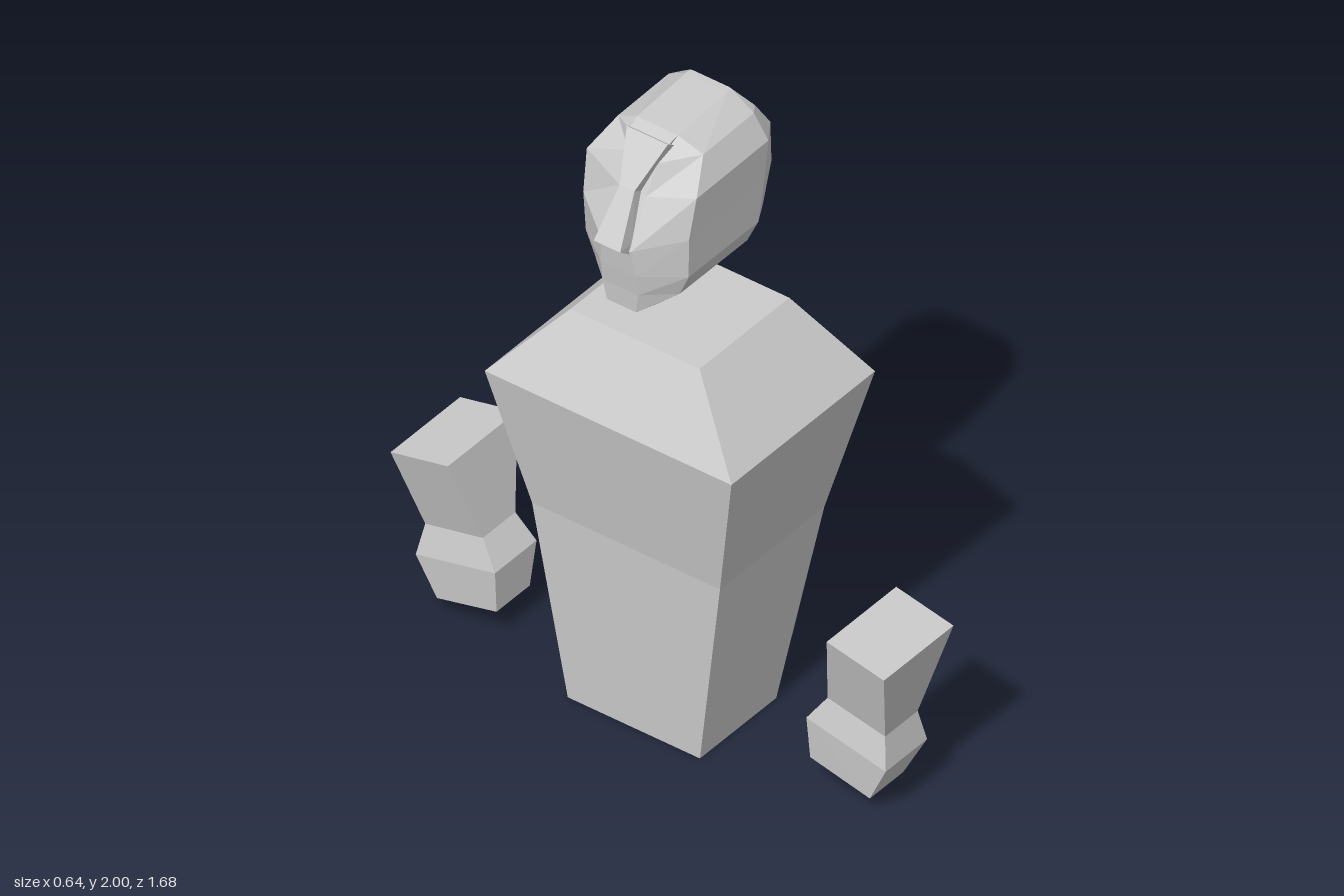
import * as THREE from 'three';

const material = new THREE.MeshStandardMaterial({ color: 0xcccccc, flatShading: true, side: THREE.DoubleSide });

// Skin a list of equal-length loops and close both ends with ladder caps
function loft(name, loops) {
  const n = loops[0].length, last = loops.length - 1, tris = [];
  const quad = (a, b, c, d) => tris.push([a, b, c], [a, c, d]);
  for (let s = 0; s < last; s++)
    for (let i = 0; i < n; i++) {
      const j = (i + 1) % n;
      quad(loops[s][i], loops[s][j], loops[s + 1][j], loops[s + 1][i]);
    }
  for (let i = 0; i < n / 2 - 1; i++) {
    const k = n - 1 - i;
    quad(loops[0][i], loops[0][k], loops[0][k - 1], loops[0][i + 1]);
    quad(loops[last][i], loops[last][i + 1], loops[last][k - 1], loops[last][k]);
  }
  // Make the faces point outward whichever way the loops run
  let volume = 0;
  const v = tris.map(t => t.map(p => new THREE.Vector3(...p)));
  for (const [a, b, c] of v) volume += a.dot(b.clone().cross(c));
  if (volume < 0) v.forEach(t => t.reverse());
  const geometry = new THREE.BufferGeometry().setFromPoints(v.flat());
  geometry.computeVertexNormals();
  const mesh = new THREE.Mesh(geometry, material);
  mesh.name = name;
  return mesh;
}

// Complete a loop from its +z half
const mirrorZ = half => [...half, ...half.slice().reverse().map(([x, y, z]) => [x, y, -z])];

// Torso: rectangular sections [y, xMin, xMax, half depth]
function torso() {
  const sections = [
    [0, -0.205, 0.135, 0.225], [0.64, -0.24, 0.225, 0.32],
    [1.09, -0.32, 0.32, 0.42], [1.32, -0.2, 0.2, 0.22],
  ];
  return loft('torso', sections.map(([y, a, b, z]) => mirrorZ([[a, y, z], [b, y, z]])));
}

// Hand with flared cuff: sections [xMin, xMax, outer z, outer y, inner z, inner y]
function hand(name, side) {
  const sections = [
    [-0.19, 0.12, 0.84, 0.54, 0.645, 0.582],
    [-0.11, 0.035, 0.783, 0.275, 0.587, 0.317],
    [-0.13, 0.055, 0.80, 0.175, 0.53, 0.235],
    [-0.118, 0.03, 0.737, 0.048, 0.534, 0.095],
  ];
  return loft(name, sections.map(([a, b, oz, oy, iz, iy]) =>
    [[a, oy, oz * side], [b, oy, oz * side], [b, iy, iz * side], [a, iy, iz * side]]));
}

// Head: half sections running crown to chin, ordered from the back (+x) to the face (-x)
function skull() {
  const halves = [
    // back strip
    [[0.14, 2, 0.06], [0.195, 1.935, 0.07], [0.25, 1.87, 0.07], [0.25, 1.735, 0.07],
      [0.205, 1.605, 0.07], [0.17, 1.535, 0.07], [0.14, 1.47, 0.06]],
    // back corner
    [[0.138, 2, 0.07], [0.17, 1.95, 0.125], [0.22, 1.87, 0.14], [0.225, 1.735, 0.14],
      [0.185, 1.605, 0.14], [0.165, 1.535, 0.12], [0.138, 1.47, 0.07]],
    // rear of the side panel
    [[0.12, 2, 0.07], [0.14, 1.95, 0.145], [0.15, 1.87, 0.187], [0.14, 1.735, 0.18],
      [0.12, 1.605, 0.175], [0.11, 1.535, 0.145], [0.11, 1.47, 0.07]],
    // front of the side panel
    [[-0.1, 1.985, 0.07], [-0.085, 1.945, 0.145], [-0.17, 1.865, 0.187], [-0.195, 1.735, 0.18],
      [-0.19, 1.605, 0.175], [-0.19, 1.535, 0.145], [-0.2, 1.47, 0.07]],
    // face
    [[-0.14, 1.97, 0.065], [-0.165, 1.92, 0.05], [-0.21, 1.83, 0.045], [-0.285, 1.69, 0.05],
      [-0.275, 1.605, 0.06], [-0.265, 1.535, 0.06], [-0.26, 1.47, 0.05]],
  ];
  return loft('skull', halves.map(mirrorZ));
}

// Nose ridge from the brow to the tip: [outer x, outer y, inner x, inner y, half width]
function noseRidge() {
  const sections = [
    [-0.145, 1.98, -0.1, 1.95, 0.07], [-0.235, 1.855, -0.19, 1.83, 0.025],
    [-0.325, 1.71, -0.27, 1.71, 0.045], [-0.285, 1.68, -0.27, 1.68, 0.045],
  ];
  return loft('noseRidge', sections.map(([ox, oy, ix, iy, z]) => mirrorZ([[ox, oy, z], [ix, iy, z]])));
}

export function createModel() {
  const model = new THREE.Group();
  model.name = 'figure';
  const head = new THREE.Group();
  head.name = 'head';
  head.add(skull(), noseRidge());
  model.add(torso(), head, hand('frontHand', 1), hand('backHand', -1));
  return model;
}
